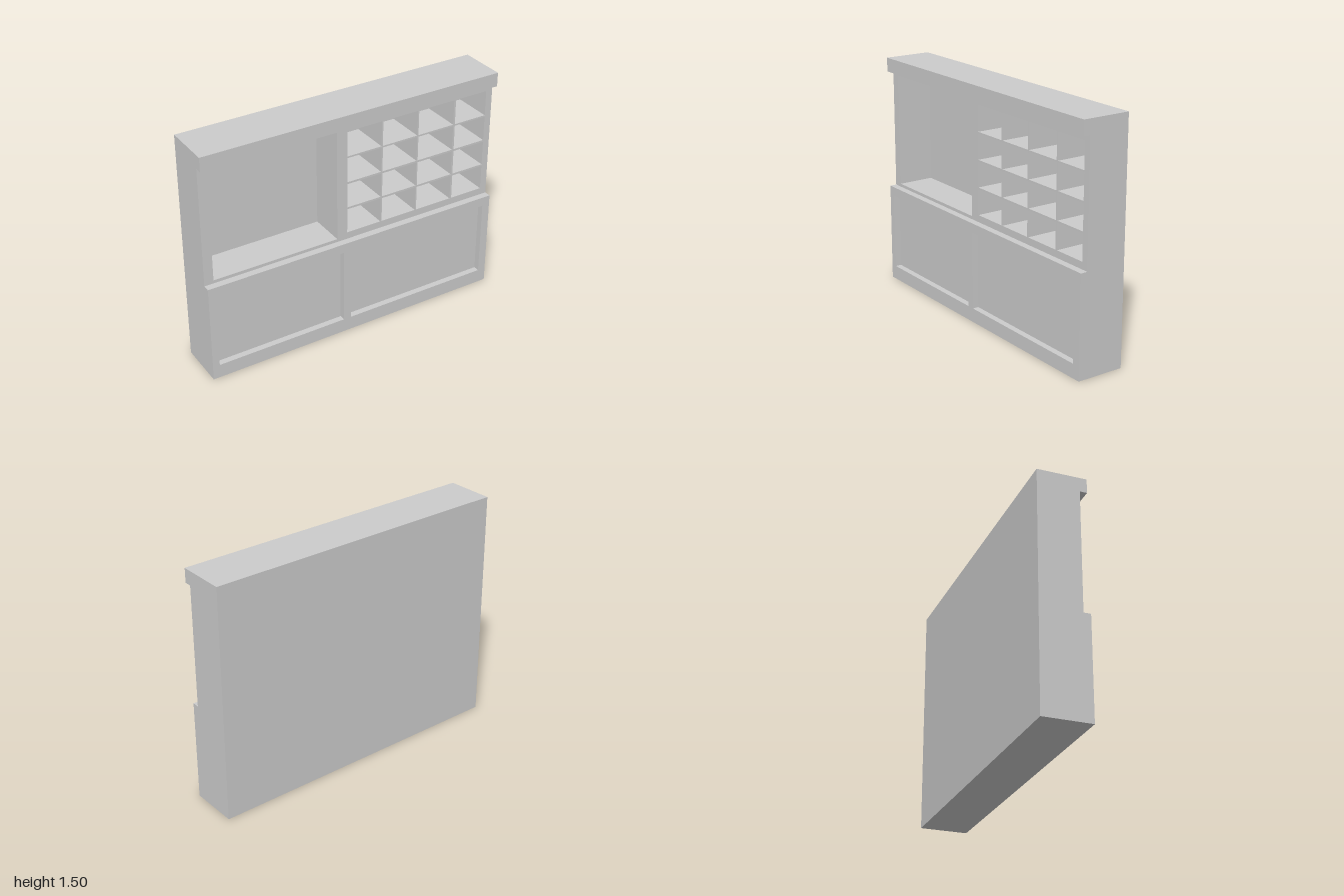
import * as THREE from 'three';

const material = new THREE.MeshStandardMaterial({ color: 0xcccccc, flatShading: true });

const BACK = -0.153, FRONT = 0.155, INNER_FRONT = 0.11;
const BASE_TOP = 0.645, CORNICE_BOTTOM = 1.415, TOP = 1.505;

// Solid block between two corners
function block(name, [x0, x1], [y0, y1], [z0, z1]) {
  const mesh = new THREE.Mesh(new THREE.BoxGeometry(x1 - x0, y1 - y0, z1 - z0), material);
  mesh.position.set((x0 + x1) / 2, (y0 + y1) / 2, (z0 + z1) / 2);
  mesh.name = name;
  return mesh;
}

function rectangle(target, [x0, x1], [y0, y1]) {
  target.moveTo(x0, y0);
  target.lineTo(x1, y0);
  target.lineTo(x1, y1);
  target.lineTo(x0, y1);
  target.closePath();
  return target;
}

// Board with rectangular openings, running from z0 to z1
function frame(name, xs, ys, [z0, z1], openings) {
  const shape = rectangle(new THREE.Shape(), xs, ys);
  for (const [ox, oy] of openings) shape.holes.push(rectangle(new THREE.Path(), ox, oy));
  const geometry = new THREE.ExtrudeGeometry(shape, { depth: z1 - z0, bevelEnabled: false });
  const mesh = new THREE.Mesh(geometry, material);
  mesh.position.z = z0;
  mesh.name = name;
  return mesh;
}

export function createModel() {
  const group = new THREE.Group();
  group.name = 'wallCabinet';
  const width = [-1, 1];

  // Lower cabinet with two shallow recessed panels
  const panelBack = 0.115;
  group.add(block('lowerBody', width, [0, BASE_TOP], [BACK, panelBack]));
  group.add(frame('lowerPanelFrame', width, [0, BASE_TOP], [panelBack, FRONT], [
    [[-0.955, -0.09], [0.09, 0.585]],
    [[-0.04, 0.947], [0.09, 0.585]],
  ]));

  // Upper section: one large niche beside a grid of pigeonholes
  const niche = [[-0.94, -0.11], [0.665, 1.392]];
  const columns = [[-0.04, 0.197], [0.207, 0.452], [0.461, 0.716], [0.729, 0.955]];
  const rows = [[0.69, 0.852], [0.865, 1.025], [1.038, 1.2], [1.211, 1.375]];
  const cells = columns.flatMap(x => rows.map(y => [x, y]));
  const cellBack = -0.145;
  group.add(frame('upperShelving', width, [BASE_TOP, CORNICE_BOTTOM],
    [cellBack, INNER_FRONT], [niche, ...cells]));
  group.add(block('nicheBack', niche[0], niche[1], [cellBack, -0.125]));
  group.add(block('backBoard', width, [BASE_TOP, CORNICE_BOTTOM], [BACK, cellBack]));

  // Projecting top
  group.add(block('cornice', width, [CORNICE_BOTTOM, TOP], [BACK, FRONT]));

  return group;
}
